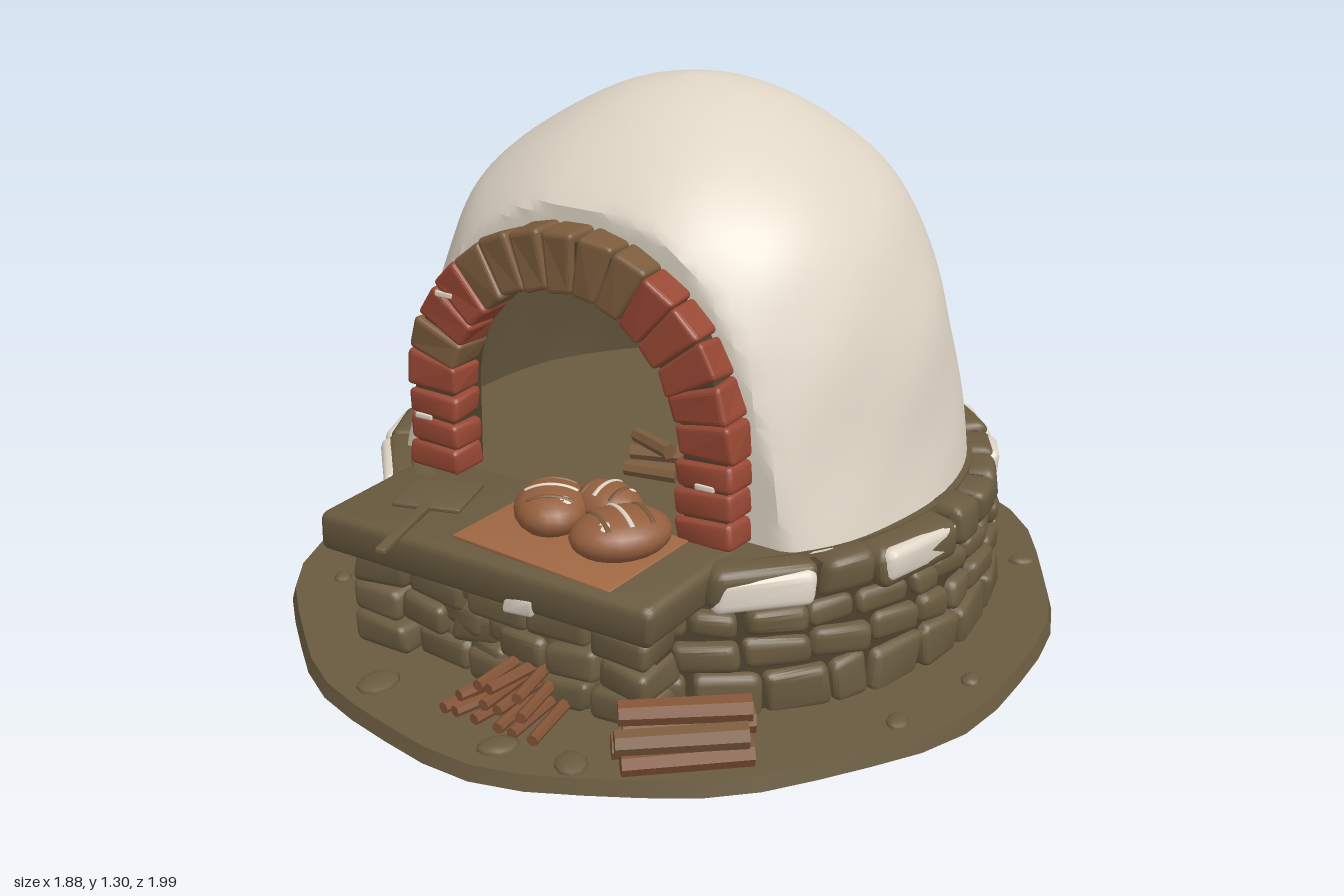
import * as THREE from 'three';
import { toCreasedNormals } from 'three/addons/utils/BufferGeometryUtils.js';
import { RoundedBoxGeometry } from 'three/addons/geometries/RoundedBoxGeometry.js';

const paint = (name, color, side = THREE.FrontSide) => {
  const m = new THREE.MeshStandardMaterial({ color, side });
  m.name = name;
  return m;
};

export function createModel() {
  const stoneMat = paint('brown stone', 0x6a5b40);
  const mortarMat = paint('dark mortar', 0x4c412d);
  const sootMat = paint('oven interior', 0x64563d, THREE.DoubleSide);
  const plasterMat = paint('pale plaster', 0xdfd5c6);
  const brickMat = paint('red brick', 0x974733);
  const tanMat = paint('brown brick', 0x7b5b3c);
  const crustMat = paint('bread crust', 0x945f3e);
  const clothMat = paint('linen cloth', 0xa06843);
  const woodMat = paint('firewood', 0x825336);

  const model = new THREE.Group();
  let seed = 7;
  const rand = (a = 0, b = 1) => {
    seed = (seed * 16807) % 2147483647;
    return a + (b - a) * seed / 2147483647;
  };
  const group = (name, parent = model) => {
    const g = new THREE.Group();
    g.name = name;
    parent.add(g);
    return g;
  };
  const add = (parent, name, geo, mat, x = 0, y = 0, z = 0) => {
    const m = new THREE.Mesh(geo, mat);
    m.name = name;
    m.position.set(x, y, z);
    parent.add(m);
    return m;
  };
  // Move every vertex by a rule
  const warp = (geo, rule) => {
    const p = geo.attributes.position, v = new THREE.Vector3();
    for (let i = 0; i < p.count; i++) {
      v.fromBufferAttribute(p, i);
      rule(v);
      p.setXYZ(i, v.x, v.y, v.z);
    }
    geo.computeVertexNormals();
    return geo;
  };
  // Rounded block with a slightly uneven outline
  const block = (w, h, d, round = 0.02, bump = 0.006) => {
    const s = rand(0, 6);
    return toCreasedNormals(warp(new RoundedBoxGeometry(w, h, d, 2, round), (v) => {
      const { x, y, z } = v;
      v.x += bump * Math.sin(28 * y + 19 * z + s);
      v.y += bump * Math.sin(23 * x + 17 * z + 2 * s);
      v.z += bump * Math.sin(21 * x + 25 * y + 3 * s);
    }), 0.5);
  };

  // Ground: irregular trodden disc
  const ground = new THREE.CylinderGeometry(0.99, 1, 0.035, 48, 1);
  warp(ground, (v) => {
    const a = Math.atan2(v.x, v.z);
    const k = 0.99 + 0.01 * Math.sin(5 * a + 1) + 0.008 * Math.sin(11 * a);
    v.x *= 0.95 * k;
    v.z *= k;
  });
  add(model, 'ground', toCreasedNormals(ground, 0.6), stoneMat, 0, 0.0175, 0);
  const pebbles = group('pebbles');
  [[0, -0.91, 0.09], [-0.45, -0.78, 0.05], [-0.68, -0.62, 0.08], [0.72, -0.52, 0.035],
    [0.3, 0.87, 0.05], [-0.26, 0.84, 0.06], [0.13, 0.9, 0.05], [-0.86, -0.2, 0.03], [-0.84, 0.22, 0.03],
    [0.86, 0.1, 0.03], [-0.68, 0.5, 0.03], [0.8, 0.35, 0.035]].forEach(([x, z, r]) => {
    const p = add(pebbles, 'pebble', new THREE.SphereGeometry(r, 9, 6), stoneMat, x, 0.034, z);
    p.scale.set(1, 0.014 / r, 0.75);
    p.rotation.y = rand(0, 3);
  });

  // Round base wall: mortar core and three stone courses
  const CZ = -0.065;
  const wall = group('baseWall');
  add(wall, 'mortarCore', new THREE.CylinderGeometry(0.735, 0.745, 0.335, 48), mortarMat, 0, 0.1975, CZ);
  add(wall, 'ovenFloor', new THREE.CylinderGeometry(0.7, 0.7, 0.02, 48), stoneMat, 0, 0.373, CZ);
  const ringBlock = (name, a, r, y, w, h, d, mat, round) => {
    const m = add(wall, name, block(w, h, d, round), mat, Math.sin(a) * r, y, CZ + Math.cos(a) * r);
    m.rotation.y = a;
  };
  [[0.02, 0.135, 0.13, 0.25], [0.135, 0.215, 0.1, 0.22], [0.215, 0.285, 0.1, 0.22]].forEach(([y0, y1, min, max], row) => {
    const widths = [];
    let total = 0;
    while (total < Math.PI * 2 - 0.05) {
      const w = rand(min, max);
      widths.push(w);
      total += w;
    }
    let a = 0.2 * row;
    widths.forEach((w) => {
      const t = w * Math.PI * 2 / total, mid = a + t / 2, y = (y0 + y1) / 2;
      a += t;
      const R = 0.768 - 0.003 * row + rand(-0.006, 0.006);
      ringBlock('wallStone', mid, R - 0.05, y, t * R - 0.01, y1 - y0 - 0.008, 0.1, stoneMat, 0.022);
      if (rand() < 0.14) ringBlock('plasterFleck', mid, R - 0.008, y, 0.045, 0.03, 0.025, plasterMat, 0.01);
    });
  });
  // Plaster flecks and exposed brick on the front left of the wall
  [[-0.75, 0.16], [-0.95, 0.24], [-1.08, 0.1], [-0.85, 0.07]].forEach(([a, y]) =>
    ringBlock('plasterFleck', a, 0.762, y, 0.045, 0.03, 0.025, plasterMat, 0.01));
  [[-1.12, 0.25], [-1.2, 0.2]].forEach(([a, y]) =>
    ringBlock('exposedBrick', a, 0.758, y, 0.1, 0.045, 0.035, tanMat, 0.012));

  // Capstones: end angle of each, and whether its outer face is plastered
  let start = 0.61;
  [[0.95, 1], [1.14, 0], [1.5, 1], [1.68, 0], [1.85, 0], [2.01, 0], [2.23, 1], [2.5, 1], [2.75, 1], [3.0, 0],
    [3.3, 0], [3.52, 1], [3.7, 0], [3.92, 0], [4.27, 1], [4.48, 1], [4.62, 0], [4.83, 1], [5.0, 0],
    [5.25, 1], [5.62, 1]].forEach(([end, plastered]) => {
    const mid = (start + end) / 2, R = 0.763 + rand(-0.006, 0.006), w = (end - start) * R - 0.012;
    ringBlock('capstone', mid, R - 0.05, 0.332, w, 0.092 + rand(0, 0.008), 0.1, stoneMat, 0.028);
    if (plastered) ringBlock('plasterPatch', mid, R - 0.015, 0.329, w * 0.92, 0.082, 0.046, plasterMat, 0.022);
    start = end;
  });

  // Front ledge on a stone support
  const ledge = group('ledge');
  add(ledge, 'ledgeSlab', block(0.92, 0.108, 0.4, 0.025, 0.008), stoneMat, -0.03, 0.327, 0.565);
  add(ledge, 'ledgePlaster', block(0.08, 0.045, 0.02, 0.009), plasterMat, 0.09, 0.3, 0.763);
  add(ledge, 'supportCore', new THREE.BoxGeometry(0.8, 0.25, 0.3), mortarMat, -0.03, 0.15, 0.5);
  for (let row = 0; row < 3; row++) {
    const n = 5 + (row % 2), w = 0.84 / n;
    for (let i = 0; i < n; i++) {
      add(ledge, 'supportStone', block(w - 0.01, 0.076, 0.14), stoneMat,
        -0.45 + w * (i + 0.5), 0.07 + row * 0.08, 0.62 + rand(0, 0.03));
    }
    for (const x of [-0.41, 0.35]) add(ledge, 'supportSideStone', block(0.1, 0.076, 0.16), stoneMat, x, 0.07 + row * 0.08, 0.48);
  }

  // Dome shell: lathed, lumpy, flattened at the front and cut open at the mouth
  const AX = -0.015, AY = 0.59;
  const profile = new THREE.SplineCurve([[0.69, 0.375], [0.67, 0.5], [0.636, 0.7], [0.595, 0.85], [0.528, 1.0],
    [0.432, 1.11], [0.3, 1.205], [0.16, 1.27], [0, 1.3]].map(([x, y]) => new THREE.Vector2(x, y)));
  const shell = (scale, front) => {
    const pts = profile.getPoints(36).map((p) => new THREE.Vector2(Math.max(0, p.x * scale), 0.375 + (p.y - 0.375) * scale));
    const geo = new THREE.LatheGeometry(pts, 96);
    warp(geo, (v) => {
      const k = 1 + 0.008 * Math.sin(9 * v.x + 5 * v.y) + 0.008 * Math.sin(8 * v.z - 7 * v.y + 1)
        + 0.006 * Math.sin(17 * v.x - 6 * v.z) * Math.sin(15 * v.y + 9 * v.z);
      v.x = v.x * k - 0.008;
      v.z = Math.min(v.z * k - 0.055 - 0.035 * (v.y - 0.375), front);
    });
    const p = geo.attributes.position, idx = geo.index.array, kept = [];
    for (let i = 0; i < idx.length; i += 3) {
      const tri = [idx[i], idx[i + 1], idx[i + 2]];
      const mean = (get) => tri.reduce((s, j) => s + p[get](j), 0) / 3;
      const dx = mean('getX') - AX, dy = Math.max(0, mean('getY') - AY);
      if (mean('getZ') < 0.2 || Math.hypot(dx, dy) > 0.37) kept.push(...tri);
    }
    geo.setIndex(kept);
    return toCreasedNormals(geo, 0.6);
  };
  add(model, 'dome', shell(1, 0.38), plasterMat);
  add(model, 'ovenCavity', shell(0.93, 0.365), sootMat);

  // Brick arch around the mouth, over a recessed mortar band
  const arch = group('brickArch');
  const band = new THREE.Shape();
  band.moveTo(AX - 0.435, 0.38);
  band.lineTo(AX - 0.435, AY);
  band.absarc(AX, AY, 0.435, Math.PI, 0, true);
  band.lineTo(AX + 0.435, 0.38);
  band.lineTo(AX + 0.325, 0.38);
  band.absarc(AX, AY, 0.322, 0, Math.PI, false);
  band.lineTo(AX - 0.325, 0.38);
  add(arch, 'archMortar', new THREE.ExtrudeGeometry(band, { depth: 0.105, bevelEnabled: false, curveSegments: 24 }), mortarMat, 0, 0, 0.342);
  const N = 15;
  for (let i = 0; i < N; i++) {
    const a = Math.PI * (i + 0.5) / N;
    const geo = warp(block(0.142, 0.078, 0.1, 0.012, 0.004), (v) => { v.y *= 1 + v.x * 2.4; });
    const brown = (i > 4 && i < 11) || i === 13;
    const b = add(arch, 'archBrick', geo, brown ? tanMat : brickMat, AX + 0.38 * Math.cos(a), AY + 0.38 * Math.sin(a), 0.41);
    b.rotation.z = a;
  }
  for (const s of [-1, 1]) {
    for (let i = 0; i < 3; i++) {
      const b = add(arch, 'jambBrick', block(0.145, 0.062, 0.1, 0.012, 0.004), brickMat, AX + s * 0.38, 0.415 + i * 0.068, 0.41);
      b.rotation.z = rand(-0.05, 0.05);
    }
  }
  [[-0.34, 0.84], [-0.42, 0.52], [0.37, 0.53]].forEach(([x, y]) =>
    add(arch, 'brickFleck', block(0.05, 0.014, 0.009, 0.004, 0.002), plasterMat, x, y, 0.459));

  // Loaves on a cloth
  const bread = group('bread');
  const cloth = add(bread, 'cloth', block(0.44, 0.008, 0.29, 0.003, 0.003), clothMat, 0.1, 0.388, 0.59);
  cloth.rotation.y = -0.04;
  [[0.02, 0.545, 0.55, 0.11], [0.225, 0.57, -0.55, 0.118], [0.12, 0.47, 1.5, 0.09]].forEach(([x, z, turn, r]) => {
    const loaf = group('loaf', bread);
    loaf.position.set(x, 0.428, z);
    loaf.rotation.y = turn;
    add(loaf, 'crust', new THREE.SphereGeometry(1, 20, 14), crustMat).scale.set(r * 0.78, 0.055, r);
    for (const k of [-0.45, 0, 0.45]) {
      const q = Math.sqrt(1 - k * k);
      const slash = add(loaf, 'scoreMark', new THREE.TorusGeometry(1, 0.05, 5, 14, 1.5), k ? tanMat : plasterMat, 0, 0, k * r);
      slash.geometry.rotateZ(0.82);
      slash.scale.set(r * 0.78 * q, 0.056 * q, 0.12);
    }
    // Dusting of flour
    const flour = add(loaf, 'flour', new THREE.SphereGeometry(1, 10, 6), plasterMat, r * 0.3, 0.036, r * 0.45);
    flour.scale.set(r * 0.22, 0.008, r * 0.2);
    flour.rotation.set(0.3, 0, -0.3);
  });

  // Baker's peel lying on the ledge
  const peel = group('peel');
  peel.position.set(-0.29, 0.391, 0.57);
  peel.rotation.y = 0.28;
  add(peel, 'blade', block(0.17, 0.012, 0.16, 0.005, 0.002), stoneMat);
  add(peel, 'handle', block(0.026, 0.016, 0.25, 0.006, 0.001), stoneMat, 0, 0.001, 0.19);

  // Firewood: stacked logs, kindling and a small pile inside
  const log = (parent, name, r, len, x, y, z, turn, mat = woodMat) => {
    const geo = new THREE.CylinderGeometry(r * 0.92, r, len, 7).rotateZ(Math.PI / 2);
    add(parent, name, toCreasedNormals(geo, 0.6), mat, x, y, z).rotation.y = turn;
  };
  const stack = group('logStack');
  stack.position.set(0.495, 0.035, 0.735);
  stack.rotation.y = 0.72;
  [[-0.033, 0.029], [0.03, 0.029], [-0.026, 0.08], [0.032, 0.077], [0, 0.125]].forEach(([z, y], i) =>
    log(stack, 'log', 0.03, 0.28, (i % 3) * 0.012 - 0.01, y, z, rand(-0.06, 0.06), i === 3 ? tanMat : woodMat));
  const kindling = group('kindling');
  for (let i = 0; i < 13; i++) {
    const row = i < 6 ? 0 : i < 10 ? 1 : 2, k = row === 0 ? i - 2.5 : row === 1 ? i - 7.5 : i - 11;
    log(kindling, 'stick', 0.015, 0.2, 0.07 + k * 0.042, 0.05 + row * 0.033, 0.765 - row * 0.015, Math.PI / 2 + k * 0.1 + rand(-0.15, 0.15));
  }
  const inside = group('ovenWood');
  [[0, 0.405], [0.05, 0.405], [0.02, 0.44], [0.04, 0.475]].forEach(([z, y]) =>
    log(inside, 'ovenLog', 0.02, 0.13, 0.07, y, 0.17 + z, rand(-0.4, 0.4), tanMat));

  return model;
}
